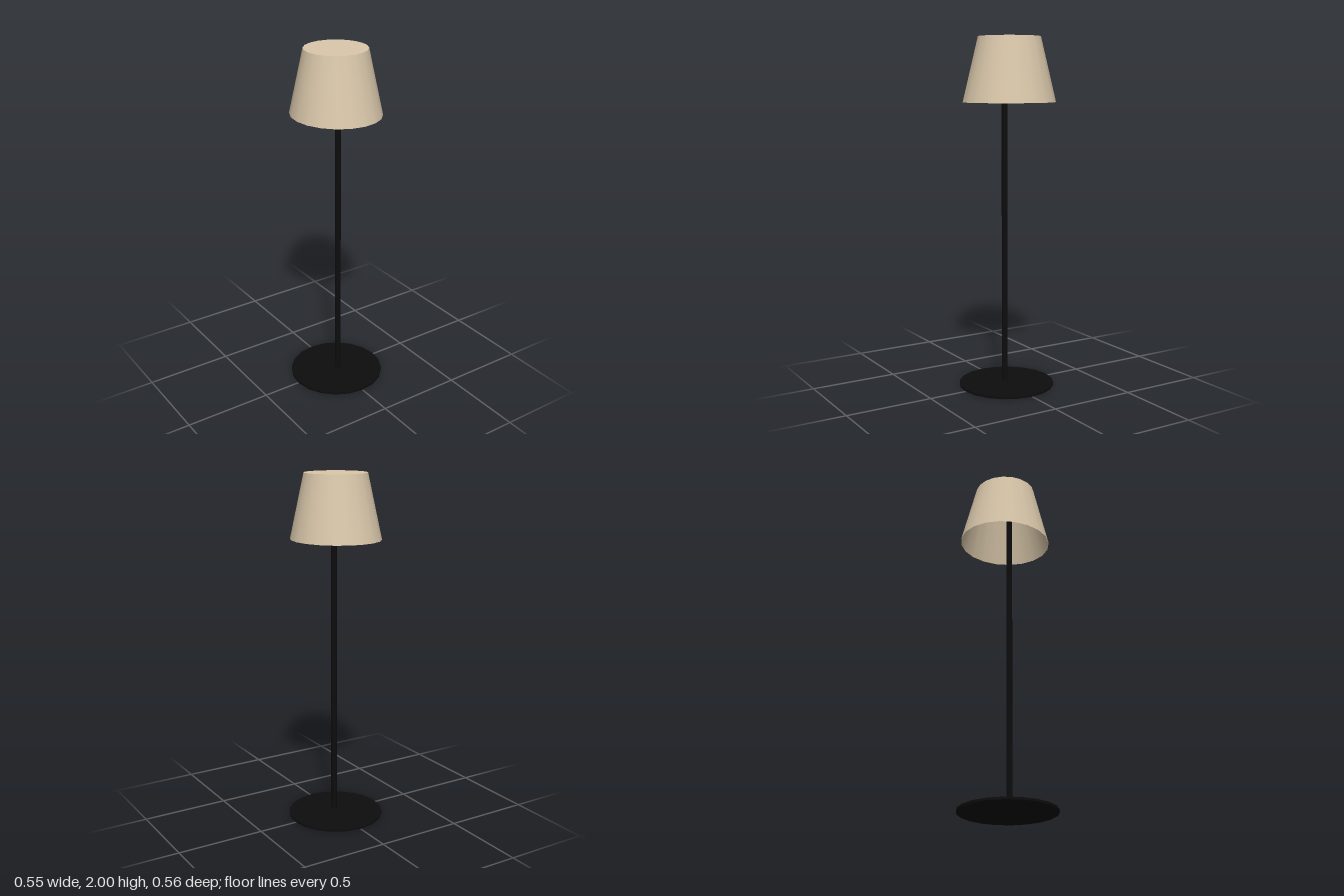
import * as THREE from 'three';

export function createModel() {
  const black = new THREE.MeshStandardMaterial({ color: 0x0d0d0d });
  black.name = 'black metal';
  const beige = new THREE.MeshStandardMaterial({ color: 0xdac8ab, side: THREE.DoubleSide });
  beige.name = 'beige fabric';

  const lamp = new THREE.Group();
  lamp.name = 'floorLamp';
  const add = (name, geometry, material, x, y, z) => {
    const mesh = new THREE.Mesh(geometry, material);
    mesh.name = name;
    mesh.position.set(x, y, z);
    lamp.add(mesh);
    return mesh;
  };

  // thin round foot
  add('base', new THREE.CylinderGeometry(0.274, 0.274, 0.013, 20), black, -0.001, 0.0065, 0.003);

  // slim upright, running up inside the shade
  const poleBottom = 0.022, poleTop = 1.97;
  add('pole', new THREE.CylinderGeometry(0.017, 0.017, poleTop - poleBottom, 12), black,
    0.001, (poleBottom + poleTop) / 2, 0.015);

  // tapered shade, open below; its lower rim is slightly oval
  const bottomY = 1.637, height = 2 - bottomY;
  const topRadius = 0.176, rimX = 0.249, rimZ = 0.2685;
  const wall = new THREE.CylinderGeometry(topRadius, rimX, height, 20, 1, true);
  for (const attribute of [wall.attributes.position]) {
    for (let i = 0; i < attribute.count; i++) {
      if (attribute.getY(i) < 0) attribute.setZ(i, attribute.getZ(i) * rimZ / rimX);
    }
  }
  add('shadeWall', wall, beige, 0.006, bottomY + height / 2, -0.012);

  // flat lid closing the top of the shade
  const lid = new THREE.CircleGeometry(topRadius, 20).rotateX(-Math.PI / 2);
  add('shadeTop', lid, beige, 0.006, 2, -0.012);

  return lamp;
}
